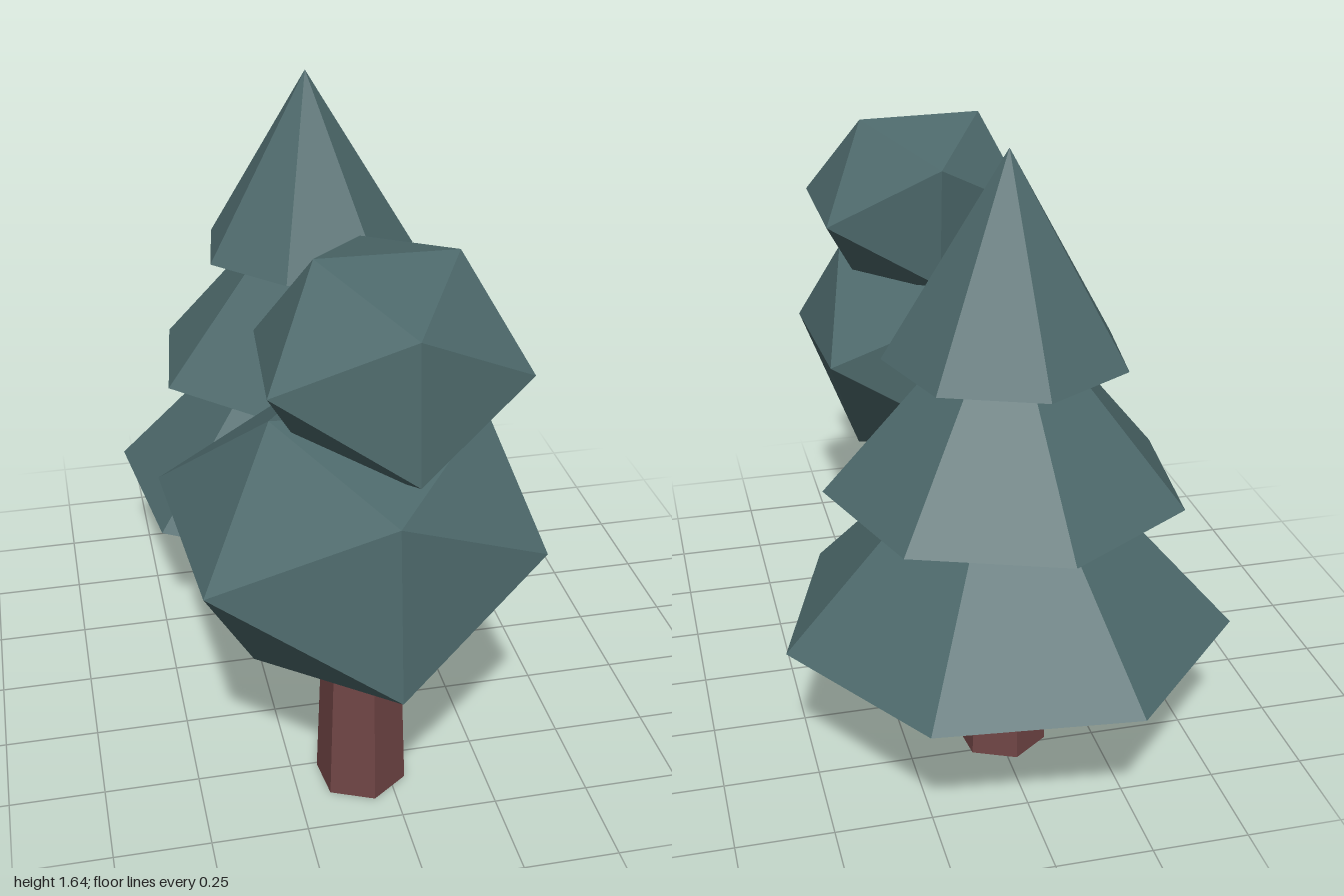
import * as THREE from 'three';
import { ConvexGeometry } from 'three/addons/geometries/ConvexGeometry.js';

export function createModel() {
  const foliage = new THREE.MeshStandardMaterial({ color: 0x4d696b, flatShading: true });
  foliage.name = 'foliage green';
  const bark = new THREE.MeshStandardMaterial({ color: 0x704545, flatShading: true });
  bark.name = 'bark brown';

  const model = new THREE.Group();
  model.name = 'trees';

  const add = (parent, name, geometry, material) => {
    const mesh = new THREE.Mesh(geometry, material);
    mesh.name = name;
    parent.add(mesh);
    return mesh;
  };

  // Six-sided tapering trunk standing on the ground
  const addTrunk = (parent, x, z, height) => {
    const geometry = new THREE.CylinderGeometry(0.12 - height * 0.038, 0.12, height, 6, 1, false, 0.11);
    add(parent, 'trunk', geometry, bark).position.set(x, height / 2, z);
  };

  // Conifer: three stacked seven-sided cones, each slightly turned
  const conifer = new THREE.Group();
  conifer.name = 'conifer';
  model.add(conifer);
  addTrunk(conifer, -0.01, -0.44, 0.5);
  const tiers = [
    { name: 'lowerTier', base: 0.39, tip: 1.02, radius: 0.59, turn: -0.1 },
    { name: 'middleTier', base: 0.77, tip: 1.31, radius: 0.463, turn: -0.345 },
    { name: 'upperTier', base: 1.12, tip: 1.64, radius: 0.31, turn: -0.37 },
  ];
  for (const { name, base, tip, radius, turn } of tiers) {
    const cone = new THREE.ConeGeometry(radius, tip - base, 7, 1, false, turn);
    add(conifer, name, cone, foliage).position.set(-0.012, (base + tip) / 2, -0.447);
  }

  // Broadleaf tree: two irregular twenty-sided crowns
  const broadleaf = new THREE.Group();
  broadleaf.name = 'broadleafTree';
  model.add(broadleaf);
  addTrunk(broadleaf, -0.07, 0.555, 0.55);
  const addCrown = (name, corners) =>
    add(broadleaf, name, new ConvexGeometry(corners.map((c) => new THREE.Vector3(...c))), foliage);

  addCrown('lowerCrown', [
    [-0.07, 1.0, 0.95], [-0.07, 0.56, 1.0], [-0.07, 1.01, 0.15], [-0.07, 0.6, 0.17], // front and back
    [-0.54, 0.8, 0.26], [-0.5, 0.79, 0.82], [0.31, 0.8, 0.31], [0.33, 0.79, 0.8], // sides
    [-0.35, 0.415, 0.56], [0.19, 0.435, 0.56], [-0.3, 1.1, 0.57], [0.23, 1.08, 0.58], // bottom and top
  ]);
  addCrown('upperCrown', [
    [0, 1.39, 0.82], [0, 1.04, 0.85], [0, 1.4, 0.205], [0, 1.055, 0.23],
    [-0.325, 1.23, 0.71], [0.305, 1.225, 0.71], [-0.295, 1.23, 0.34], [0.305, 1.22, 0.33],
    [-0.2, 0.98, 0.54], [0.18, 0.98, 0.54], [-0.18, 1.48, 0.52], [0.17, 1.475, 0.52],
  ]);

  return model;
}
